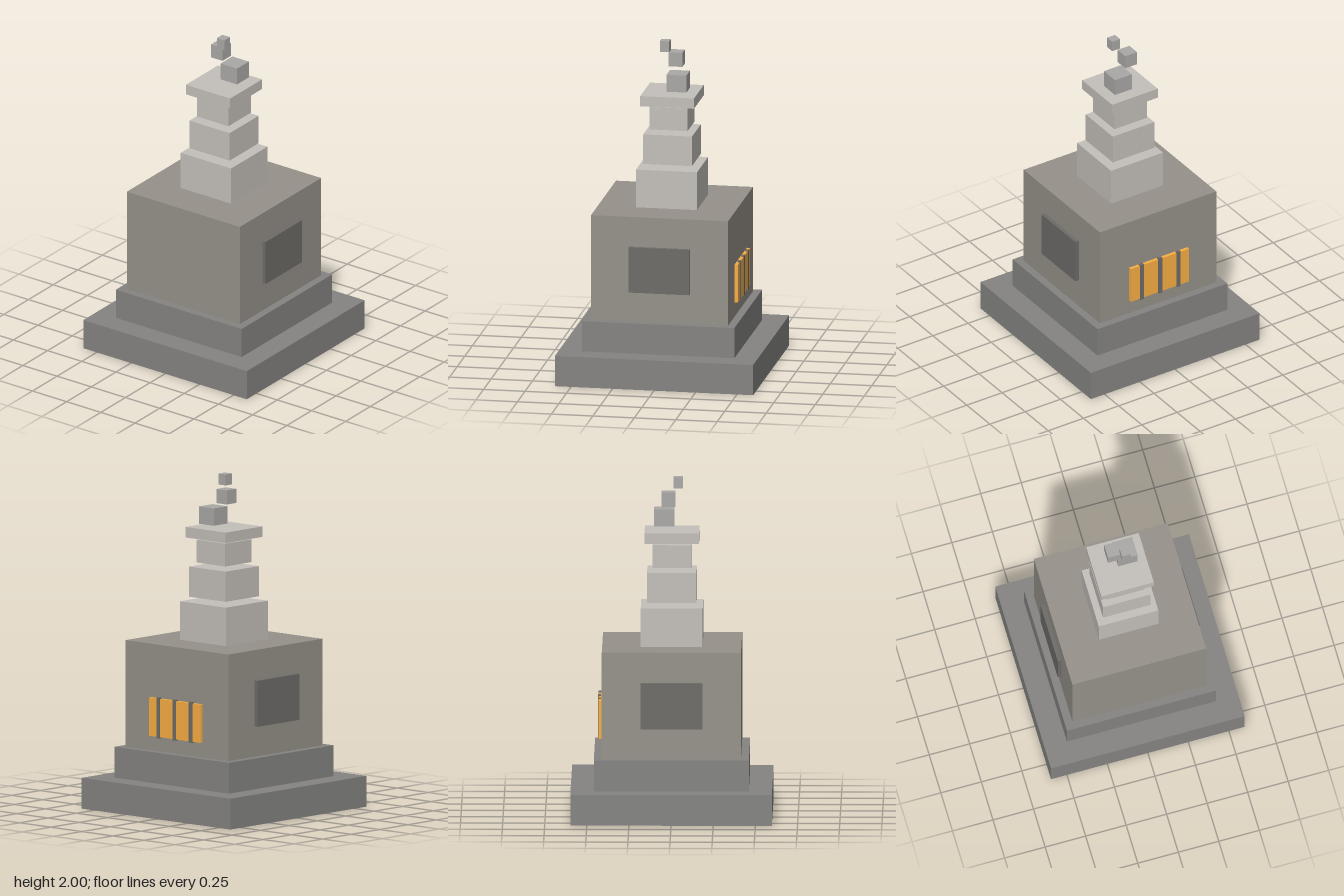
import * as THREE from 'three';

export function createModel() {
  const model = new THREE.Group();
  model.name = 'steppedMonument';

  const paint = (color) => new THREE.MeshStandardMaterial({ color, flatShading: true });
  const baseStone = paint(0x858482);
  const bodyStone = paint(0x96928a);
  const tierStone = paint(0xc4c0bb);
  const fragmentStone = paint(0xaba9a7);
  const darkStone = paint(0x6e6c69);
  const glow = paint(0xf8ae42);

  // Box given by its size and centre
  function block(name, size, centre, material, parent = model) {
    const mesh = new THREE.Mesh(new THREE.BoxGeometry(...size), material);
    mesh.name = name;
    mesh.position.set(...centre);
    parent.add(mesh);
  }

  // Square storeys, bottom to top: name, half width, bottom, top, material
  const storeys = [
    ['plinth', 0.598, 0, 0.185, baseStone],
    ['step', 0.46, 0.185, 0.37, baseStone],
    ['mainBody', 0.413, 0.37, 1.01, bodyStone],
    ['lowerTier', 0.184, 1.01, 1.241, tierStone],
    ['middleTier', 0.147, 1.268, 1.449, tierStone],
    ['upperTier', 0.115, 1.473, 1.61, tierStone],
    ['capSlab', 0.162, 1.624, 1.687, tierStone],
  ];
  for (const [name, half, y0, y1, material] of storeys) {
    block(name, [half * 2, y1 - y0, half * 2], [0, (y0 + y1) / 2, 0], material);
  }

  // Floating fragments above the cap: centre, width, height
  const fragments = [
    [[0.045, 1.758, -0.046], 0.12, 0.104],
    [[-0.038, 1.878, -0.021], 0.084, 0.085],
    [[0.022, 1.967, 0.036], 0.056, 0.066],
  ];
  fragments.forEach(([centre, width, height], i) =>
    block(`floatingFragment${i + 1}`, [width, height, width], centre, fragmentStone));

  // Raised panels on both sides
  for (const [name, side] of [['leftPanel', 1], ['rightPanel', -1]]) {
    block(name, [0.046, 0.276, 0.368], [side * 0.414, 0.69, 0], darkStone);
  }

  // Lit window with three bars at the back
  const backWindow = new THREE.Group();
  backWindow.name = 'backWindow';
  model.add(backWindow);
  block('windowPane', [0.412, 0.23, 0.04], [0, 0.575, -0.414], glow, backWindow);
  for (const x of [-0.13, 0, 0.13]) {
    block('windowBar', [0.026, 0.245, 0.018], [x, 0.575, -0.429], darkStone, backWindow);
  }

  return model;
}
